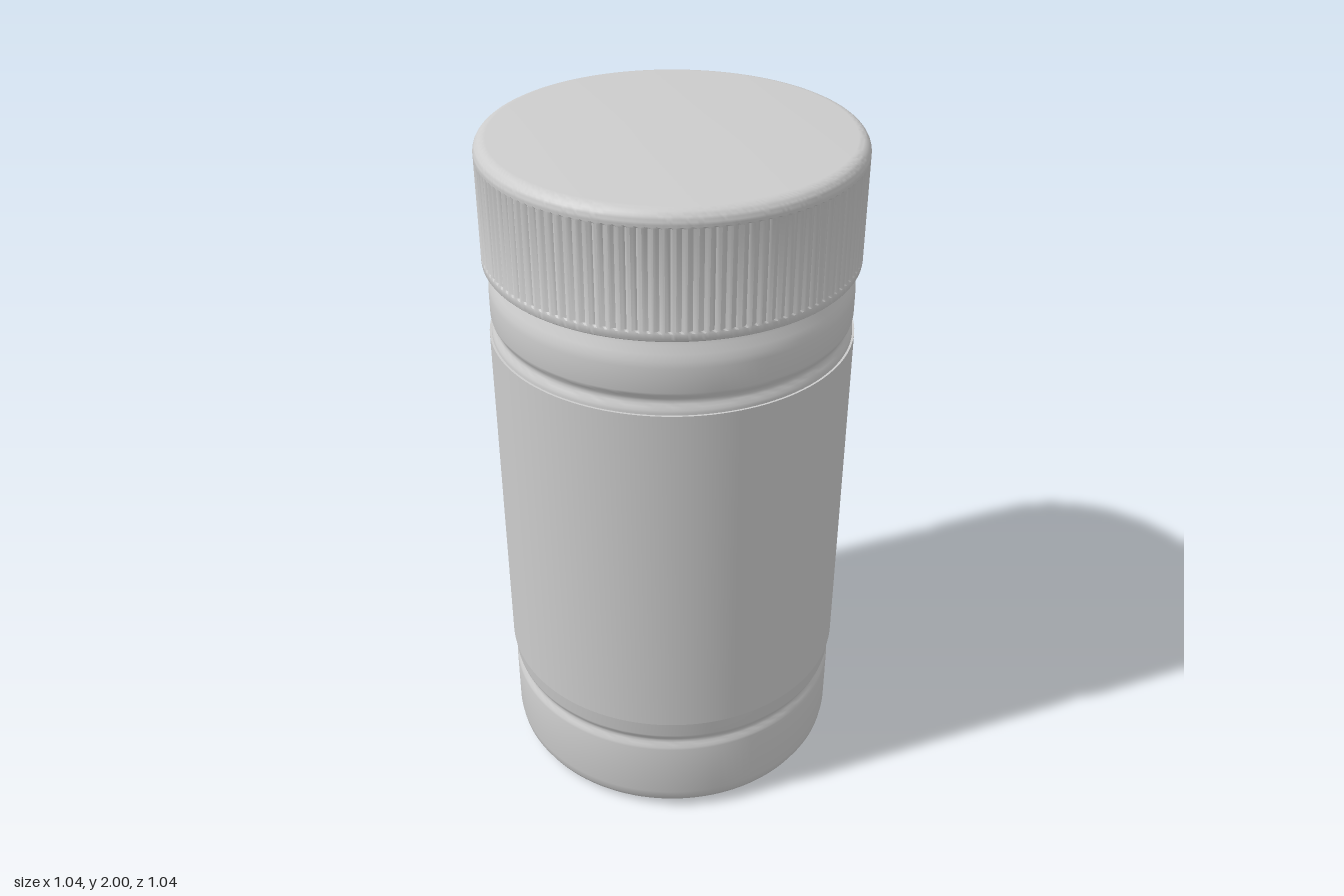
import * as THREE from 'three';
import { toCreasedNormals } from 'three/addons/utils/BufferGeometryUtils.js';

const plastic = new THREE.MeshStandardMaterial({ color: 0xcccccc });
plastic.name = 'grey plastic';

// Turn a profile of [radius, height] pairs, listed from the bottom up.
function lathe(profile, segments) {
  return new THREE.LatheGeometry(profile.map(([r, y]) => new THREE.Vector2(r, y)), segments);
}

// Quarter round ending an edge: sweeps from angle a0 to a1 about (r, y).
function arc(r, y, radius, a0, a1, steps = 6) {
  return Array.from({ length: steps + 1 }, (_, i) => {
    const a = a0 + (a1 - a0) * i / steps;
    return [r + radius * Math.cos(a), y + radius * Math.sin(a)];
  });
}

// Shallow rounded groove running around the body.
function groove(r, y, half, depth, steps = 8) {
  return Array.from({ length: steps + 1 }, (_, i) => {
    const t = i / steps * 2 - 1;
    return [r - depth * (0.5 + 0.5 * Math.cos(t * Math.PI)), y + t * half];
  });
}

export function createModel() {
  const model = new THREE.Group();
  model.name = 'jar';
  const add = (name, geometry) => {
    const mesh = new THREE.Mesh(toCreasedNormals(geometry, 0.7), plastic);
    mesh.name = name;
    model.add(mesh);
  };
  const R = 0.507;

  // Body with rounded foot, two grooves, sloping shoulder and neck
  add('body', lathe([
    [0, 0.005], [0.43, 0.005], [0.45, 0.008], [0.474, 0.016], [0.492, 0.03], [0.503, 0.05], [R, 0.075],
    ...groove(R, 0.285, 0.03, 0.012),
    ...groove(R, 1.475, 0.03, 0.012),
    [R, 1.575], [0.504, 1.592], [0.497, 1.61], [0.487, 1.63], [0.48, 1.65], [0.478, 1.67], [0.478, 1.75],
  ], 128));

  // Wrapped label sleeve
  add('label', lathe([
    [R - 0.002, 0.365], [0.513, 0.365], [0.513, 1.44], [R - 0.002, 1.44],
  ], 128));

  // Screw cap: fine ribs pressed into the side between plain rims
  const ribs = 120;
  const ribBottom = 1.685, ribTop = 1.955;
  const cap = lathe([
    [0.47, 1.70], [0.475, 1.655],
    ...arc(0.51, 1.665, 0.01, -Math.PI / 2, 0, 4),
    [0.52, 1.68], [0.52, ribBottom], [0.52, ribTop], [0.52, 1.96],
    ...arc(0.485, 1.965, 0.035, 0, Math.PI / 2, 8),
    [0, 2],
  ], ribs * 4);
  const p = cap.attributes.position;
  for (let i = 0; i < p.count; i++) {
    const x = p.getX(i), y = p.getY(i), z = p.getZ(i);
    if (y < ribBottom - 0.001 || y > ribTop + 0.001) continue;
    const wave = 0.5 - 0.5 * Math.cos(Math.atan2(x, z) * ribs);
    const s = 1 - 0.01 * wave;
    p.setXYZ(i, x * s, y, z * s);
  }
  add('cap', cap);

  return model;
}
